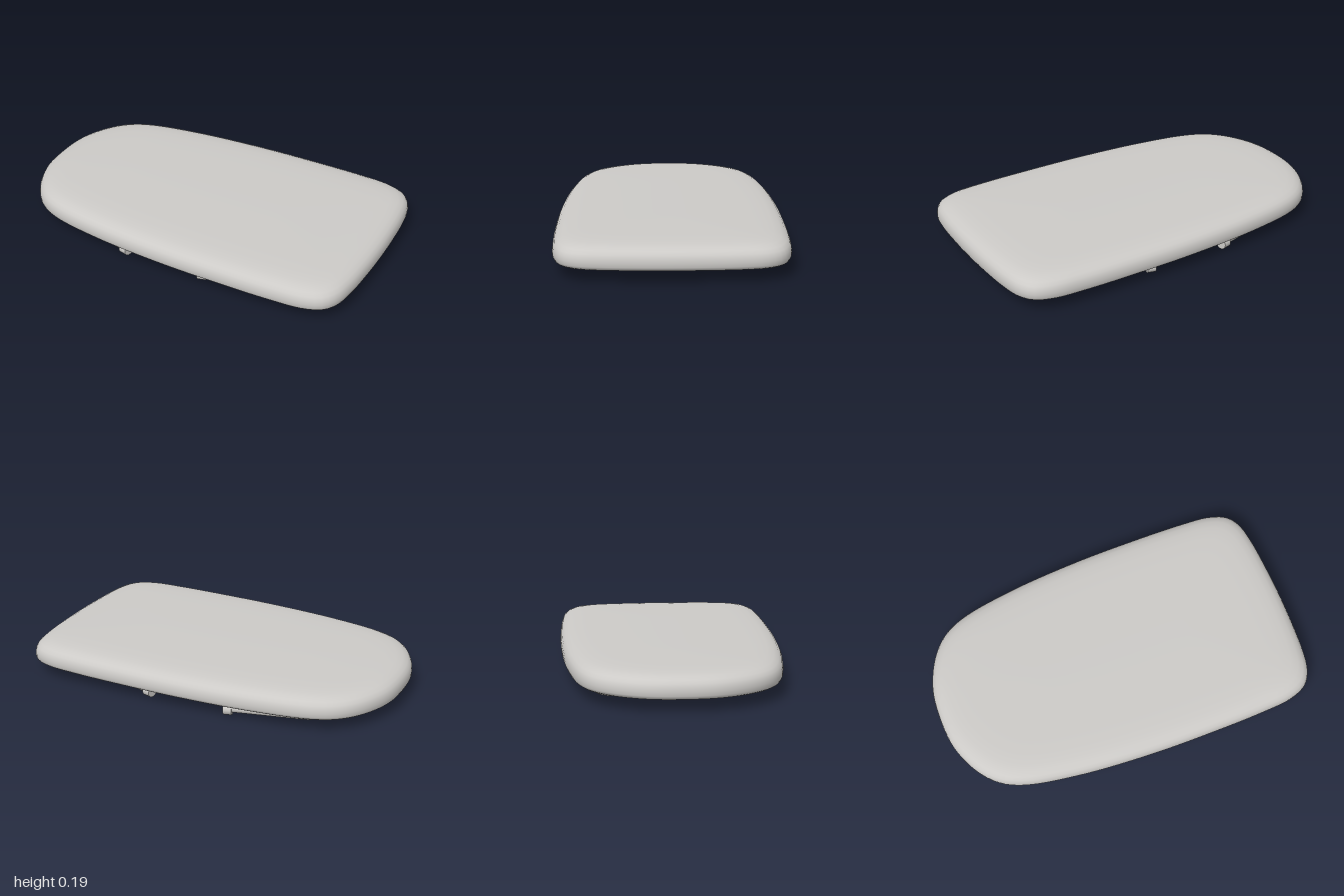
import * as THREE from 'three';

const HALF_Z = 0.6;

// Closed board outline in plan, mirrored about the x axis
function outline(count) {
  const half = [[-0.982, 0.18], [-0.91, 0.345], [-0.82, 0.445], [-0.7, 0.505], [-0.4, 0.562], [0, 0.594],
    [0.35, 0.6], [0.65, 0.595], [0.82, 0.58], [0.915, 0.54], [0.962, 0.47], [0.985, 0.35], [0.996, 0.18]];
  const pts = [[-1, 0], ...half, [1, 0], ...half.slice().reverse().map(([x, z]) => [x, -z])];
  const curve = new THREE.CatmullRomCurve3(pts.map(([x, z]) => new THREE.Vector3(x, 0, z)), true, 'centripetal');
  return curve.getSpacedPoints(count).slice(0, count);
}

// Skin through rings given as [inset, y], with the outline shrunk by the inset
function loft(profile, ring) {
  const n = ring.length, pos = [], index = [];
  for (const [d, y] of profile) {
    for (const p of ring) pos.push(p.x * (1 - d), y, p.z * (1 - d / HALF_Z));
  }
  for (let i = 0; i < profile.length - 1; i++) {
    for (let j = 0; j < n; j++) {
      const a = i * n + j, b = i * n + (j + 1) % n;
      index.push(a, b, a + n, b, b + n, a + n);
    }
  }
  const g = new THREE.BufferGeometry();
  g.setAttribute('position', new THREE.Float32BufferAttribute(pos, 3));
  g.setIndex(index);
  g.computeVertexNormals();
  return g;
}

export function createModel() {
  const model = new THREE.Group();
  model.name = 'paddedBoard';
  const grey = new THREE.MeshStandardMaterial({ color: 0xcccac7 });
  grey.name = 'light grey';

  const add = (parent, geometry, name) => {
    const m = new THREE.Mesh(geometry, grey);
    m.name = name;
    parent.add(m);
    return m;
  };

  // Cushion: rounded rim and gently crowned top
  const ring = outline(160);
  add(model, loft([
    [0.09, 0.064], [0.03, 0.064], [0.016, 0.066], [0.006, 0.073], [0.001, 0.085], [0, 0.105], [0.003, 0.125],
    [0.011, 0.143], [0.026, 0.158], [0.05, 0.17], [0.085, 0.178], [0.14, 0.183], [0.22, 0.186],
    [0.35, 0.188], [0.48, 0.19], [0.6, 0.19]], ring), 'cushion');

  // Groove around the base plate, with sharp edges
  add(model, loft([[0.13, 0.095], [0.09, 0.095]], ring), 'grooveFloor');
  add(model, loft([[0.09, 0.095], [0.09, 0.064]], ring), 'grooveWall');

  // Base plate set into the underside
  add(model, loft([[0.6, 0.064], [0.13, 0.064]], ring), 'basePlate');
  add(model, loft([[0.13, 0.064], [0.13, 0.095]], ring), 'basePlateEdge');

  // One bent tube bracket opening toward the middle, arms flaring outward
  function bracket(name) {
    const g = new THREE.Group();
    g.name = name;
    const y = 0.038;
    const v = (x, z) => new THREE.Vector3(x, y, z);
    const path = new THREE.CurvePath();
    path.add(new THREE.LineCurve3(v(0.21, 0.515), v(0.6, 0.415)));
    path.add(new THREE.QuadraticBezierCurve3(v(0.6, 0.415), v(0.685, 0.39), v(0.685, 0.3)));
    path.add(new THREE.LineCurve3(v(0.685, 0.3), v(0.685, -0.3)));
    path.add(new THREE.QuadraticBezierCurve3(v(0.685, -0.3), v(0.685, -0.39), v(0.6, -0.415)));
    path.add(new THREE.LineCurve3(v(0.6, -0.415), v(0.21, -0.515)));
    add(g, new THREE.TubeGeometry(path, 100, 0.023, 18, false), 'tube');

    for (const s of [1, -1]) {
      // Clip on the crossbar
      const clip = add(g, new THREE.CylinderGeometry(0.029, 0.029, 0.048, 24), 'clip');
      clip.rotation.x = Math.PI / 2;
      clip.position.set(0.685, y - 0.001, s * 0.168);
      // Collar closing the arm's free end
      const collar = add(g, new THREE.CylinderGeometry(0.031, 0.031, 0.045, 24), 'endCollar');
      const dir = new THREE.Vector3(0.39, 0, -0.1 * s).normalize();
      collar.quaternion.setFromUnitVectors(new THREE.Vector3(0, 1, 0), dir);
      collar.position.set(0.222, 0.031, s * 0.512);
    }
    model.add(g);
    return g;
  }
  bracket('leftBracket');
  const right = bracket('rightBracket');
  right.rotation.y = Math.PI;
  right.position.x = -0.02;

  return model;
}
